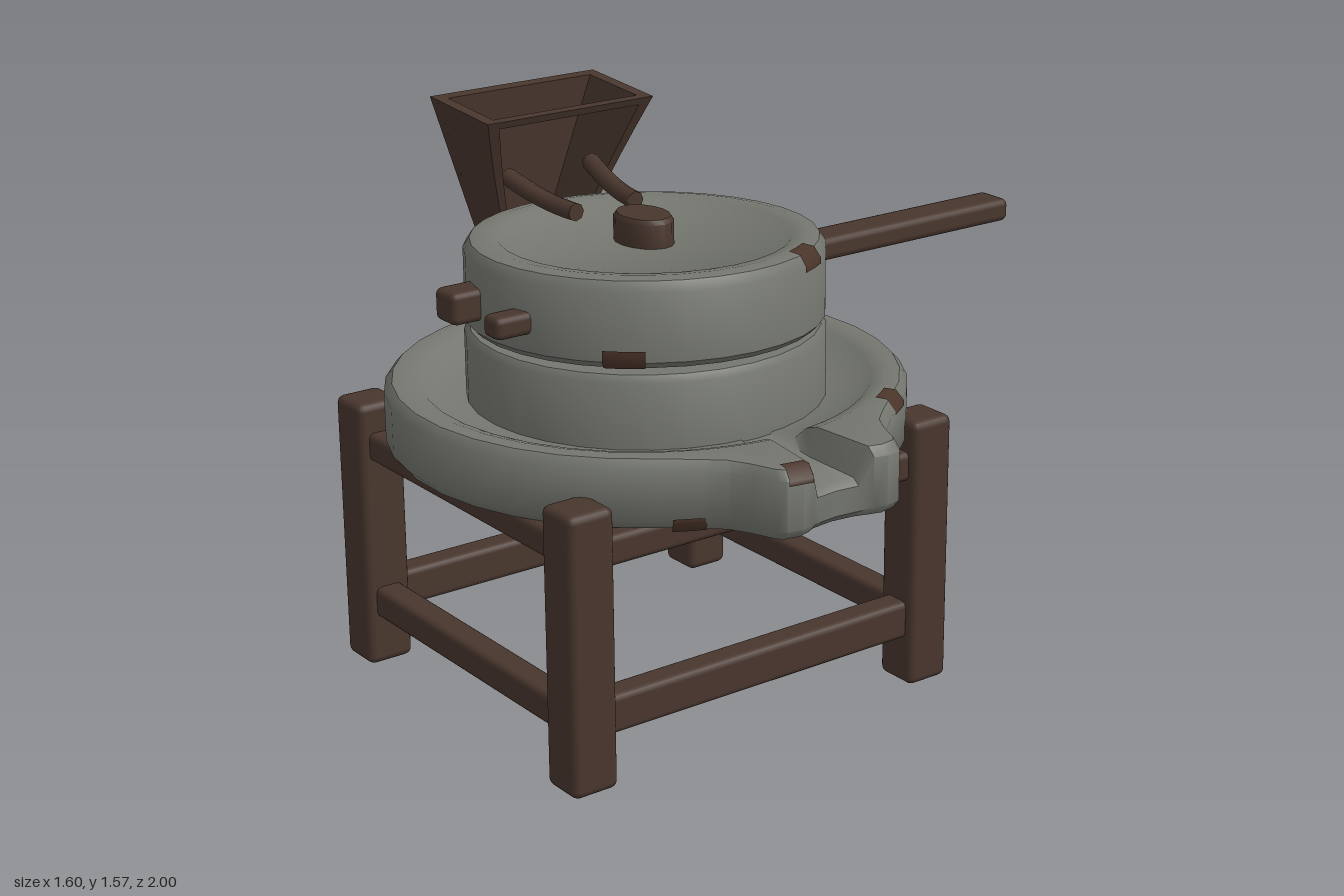
import * as THREE from 'three';
import { toCreasedNormals } from 'three/addons/utils/BufferGeometryUtils.js';
import { RoundedBoxGeometry } from 'three/addons/geometries/RoundedBoxGeometry.js';

const stone = new THREE.MeshStandardMaterial({ color: 0x74766f });
stone.name = 'grey stone';
const wood = new THREE.MeshStandardMaterial({ color: 0x48362d });
wood.name = 'dark wood';
const patchBrown = new THREE.MeshStandardMaterial({ color: 0x4a3429, side: THREE.DoubleSide });
patchBrown.name = 'brown chip';

const rad = THREE.MathUtils.degToRad;
const lerp = THREE.MathUtils.lerp;

function add(parent, name, geometry, material, x = 0, y = 0, z = 0) {
  const mesh = new THREE.Mesh(geometry, material);
  mesh.name = name;
  mesh.position.set(x, y, z);
  parent.add(mesh);
  return mesh;
}

// Beam given by its minimum and maximum corners
function beam(parent, name, a, b, r = 0.018) {
  const s = b.map((v, i) => v - a[i]);
  const c = b.map((v, i) => (v + a[i]) / 2);
  return add(parent, name, new RoundedBoxGeometry(s[0], s[1], s[2], 2, r), wood, ...c);
}

function lathe(points, segments, start = 0, length = Math.PI * 2) {
  return new THREE.LatheGeometry(points.map(p => new THREE.Vector2(...p)), segments, start, length);
}

// Basin: [angle, outer radius, is channel] across half of the pouring spout
const spoutKeys = [[0, 0.83, 1], [4.6, 0.84, 1], [6.6, 0.865, 0], [9, 0.88, 0], [12, 0.88, 0],
  [13.2, 0.865, 0], [16, 0.81, 0], [19.5, 0.765, 0], [25, 0.74, 0], [33, 0.722, 0]];

function basinGeometry() {
  const keys = [...spoutKeys];
  for (let i = 1; i < 28; i++) keys.push([33 + i * 294 / 28, 0.72, 0]);
  for (const [a, r, c] of spoutKeys.slice(1).reverse()) keys.push([360 - a, r, c]);
  const pos = [], index = [];
  let n = 0;
  for (const [deg, R, channel] of keys) {
    const a = rad(deg);
    const profile = channel
      ? [[0, 0.69], [R - 0.1, 0.688], [R - 0.02, 0.695], [R, 0.715], [R, 0.785], [R - 0.02, 0.803],
        [0.66, 0.812], [0.62, 0.818], [0.58, 0.825], [0.45, 0.83]]
      : [[0, 0.69], [R - 0.1, 0.688], [R - 0.02, 0.7], [R, 0.725], [R, 0.862], [R - 0.022, 0.887],
        [0.66, 0.89], [0.62, 0.877], [0.58, 0.84], [0.45, 0.83]];
    n = profile.length;
    for (const [r, y] of profile) pos.push(r * Math.cos(a), y, r * Math.sin(a));
  }
  for (let i = 0; i < keys.length; i++) {
    const k = (i + 1) % keys.length;
    for (let j = 0; j < n - 1; j++) {
      const p = i * n + j, q = k * n + j;
      index.push(p, p + 1, q, q, p + 1, q + 1);
    }
  }
  const g = new THREE.BufferGeometry();
  g.setAttribute('position', new THREE.Float32BufferAttribute(pos, 3));
  g.setIndex(index);
  return toCreasedNormals(g, 0.75);
}

// Maps a box in unit space (u across, v up, w deep) into the tapered hopper
function hopperPart(parent, name, a, b) {
  const g = new THREE.BoxGeometry(1, 1, 1, 1, 6, 1);
  const p = g.attributes.position;
  for (let i = 0; i < p.count; i++) {
    const u = lerp(a[0], b[0], p.getX(i) + 0.5);
    const v = lerp(a[1], b[1], p.getY(i) + 0.5);
    const w = lerp(a[2], b[2], p.getZ(i) + 0.5);
    const x = lerp(lerp(-0.75, -0.72, v), -0.59 + 0.17 * Math.pow(v, 1.4), u);
    const z = lerp(lerp(0.19, 0.005, v), lerp(0.37, 0.555, v), w);
    p.setXYZ(i, x, lerp(1.055, 1.572, v) - 0.022 * u, z);
  }
  add(parent, name, toCreasedNormals(g, 0.5), wood);
}

// Thin chip wrapped on a round surface; angle runs from +x towards +z
function chip(parent, profile, angle, width) {
  add(parent, 'chip', lathe(profile, 4, rad(90 - angle - width / 2), rad(width)), patchBrown);
}

export function createModel() {
  const model = new THREE.Group();
  model.name = 'stoneMill';

  // Stones
  const stones = new THREE.Group();
  stones.name = 'stones';
  stones.position.set(-0.08, 0, 0.28);
  model.add(stones);
  add(stones, 'basin', basinGeometry(), stone);
  add(stones, 'lowerStone', toCreasedNormals(lathe([[0, 0.8], [0.496, 0.8], [0.496, 1.015],
    [0.482, 1.035], [0, 1.04]], 32), 0.75), stone);

  const upper = new THREE.Group();
  upper.name = 'upperStoneGroup';
  upper.position.y = 1.04;
  upper.rotation.set(-0.015, 0, 0.02);
  stones.add(upper);
  add(upper, 'upperStone', toCreasedNormals(lathe([[0, 0], [0.475, 0], [0.493, 0.018], [0.493, 0.205],
    [0.475, 0.232], [0.44, 0.238], [0.4, 0.232], [0.375, 0.212], [0, 0.212]], 32), 0.75), stone);

  // Worn brown chips
  chip(upper, [[0.478, -0.002], [0.497, 0.017], [0.497, 0.05]], 42, 13);
  chip(upper, [[0.497, 0.19], [0.497, 0.206], [0.478, 0.236], [0.445, 0.242]], -29, 12);
  chip(stones, [[0.726, 0.85], [0.726, 0.863], [0.703, 0.892], [0.67, 0.894]], -33.7, 7);
  chip(stones, [[0.725, 0.697], [0.744, 0.724], [0.744, 0.738]], 27, 7);
  chip(stones, [[0.884, 0.85], [0.884, 0.863], [0.86, 0.891], [0.83, 0.892]], 9.5, 4.5);

  // Oval plug in the top stone
  const plug = add(model, 'topPlug', toCreasedNormals(lathe([[0, 0], [0.1, 0], [0.1, 0.078],
    [0.09, 0.09], [0, 0.09]], 16), 0.75), wood, -0.085, 1.242, 0.28);
  plug.scale.z = 0.72;

  // Push handle and side pegs
  const handle = beam(model, 'handle', [-0.137, 1.1, -1], [-0.02, 1.168, -0.15], 0.02);
  handle.rotation.set(0.006, -0.012, 0);
  beam(model, 'largePeg', [-0.245, 1.1, 0.7], [-0.148, 1.19, 0.85]);
  beam(model, 'smallPeg', [-0.008, 1.115, 0.7], [0.065, 1.177, 0.85]);

  // Frame legs
  const xs = [[-0.67, -0.535], [0.365, 0.5]];
  const zs = [[-0.335, -0.2], [0.79, 0.93]];
  for (const [x0, x1] of xs) {
    for (const [z0, z1] of zs) beam(model, 'leg', [x0, 0, z0], [x1, 0.785, z1], 0.022);
  }

  // Frame rails
  for (const [z0, z1] of zs) {
    const z = (z0 + z1) / 2;
    beam(model, 'lowerCrossRail', [-0.6, 0.145, z - 0.042], [0.43, 0.235, z + 0.042]);
    beam(model, 'upperCrossRail', [-0.6, 0.618, z - 0.042], [0.43, 0.7, z + 0.042]);
  }
  for (const [x0, x1] of xs) {
    const x = (x0 + x1) / 2;
    beam(model, 'lowerSideRail', [x - 0.042, 0.14, -0.27], [x + 0.042, 0.25, 0.86]);
    beam(model, 'upperSideRail', [x - 0.042, 0.61, -0.27], [x + 0.042, 0.695, 0.86]);
  }

  // Hopper, open towards the stone
  const hopper = new THREE.Group();
  hopper.name = 'hopper';
  model.add(hopper);
  hopperPart(hopper, 'hopperBack', [0, 0, 0], [0.13, 1, 1]);
  hopperPart(hopper, 'hopperSide', [0, 0, 0], [1, 1, 0.065]);
  hopperPart(hopper, 'hopperSide', [0, 0, 0.935], [1, 1, 1]);
  hopperPart(hopper, 'hopperTopBar', [0.9, 0.96, 0], [1, 1, 1]);

  // Curved hopper arms resting on the stone
  for (const s of [-1, 1]) {
    const curve = new THREE.CatmullRomCurve3([
      new THREE.Vector3(-0.55, 1.355, 0.275 + s * 0.14),
      new THREE.Vector3(-0.44, 1.325, 0.275 + s * 0.122),
      new THREE.Vector3(-0.34, 1.31, 0.275 + s * 0.108),
      new THREE.Vector3(-0.27, 1.307, 0.275 + s * 0.1)]);
    add(hopper, 'hopperArm', new THREE.TubeGeometry(curve, 8, 0.026, 8), wood);
    const cap = add(hopper, 'armTip', new THREE.CircleGeometry(0.026, 8), wood, -0.27, 1.307, 0.275 + s * 0.1);
    cap.rotation.y = Math.PI / 2;
  }

  return model;
}
